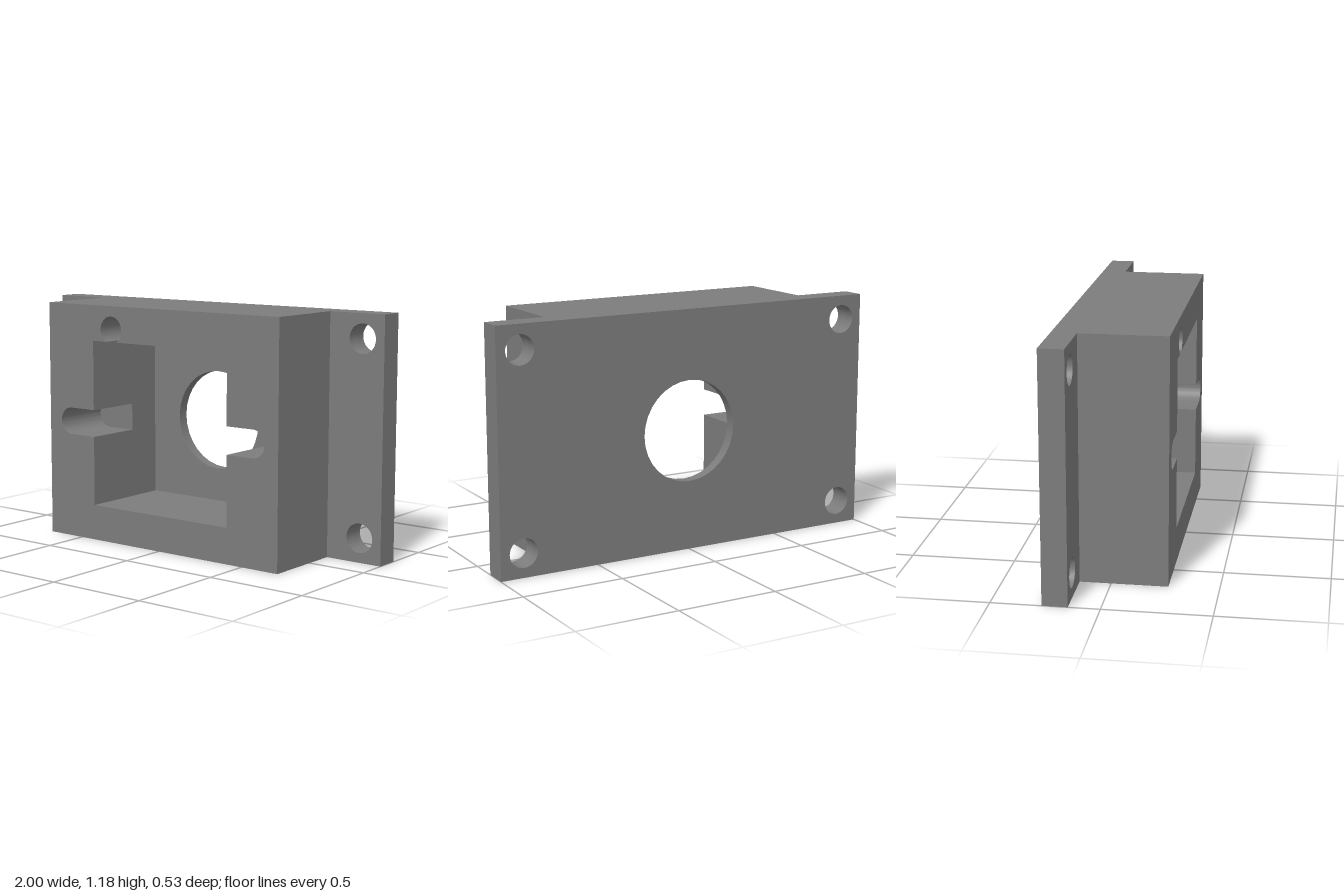
import * as THREE from 'three';
import { toCreasedNormals } from 'three/addons/utils/BufferGeometryUtils.js';

const HEIGHT = 1.176, MID = HEIGHT / 2;
const BACK = -0.265, FLOOR = -0.21, FLANGE = -0.147, SLOT = -0.027, FRONT = 0.265;
const PX = 0.412, PY0 = 0.176, PY1 = 1.0;       // square pocket
const material = new THREE.MeshStandardMaterial({ color: 0x7c7c7c });

// Rectangle outline
function rect(PathType, x, y0, y1) {
  const p = new PathType();
  p.moveTo(-x, y0).lineTo(x, y0).lineTo(x, y1).lineTo(-x, y1).closePath();
  return p;
}

function circle(x, y, r) {
  return new THREE.Path().absarc(x, y, r, 0, Math.PI * 2, false);
}

// Pocket outline with two round-ended side slots and a round notch on top
function slottedPocket() {
  const r = 0.067, slotX = 0.628 - r;
  const notchX = -0.295, notchY = 1.058;
  const a = Math.asin((PY1 - notchY) / r);
  const p = new THREE.Path();
  p.moveTo(-PX, PY0);
  p.lineTo(PX, PY0);
  p.lineTo(PX, MID - r);
  p.absarc(slotX, MID, r, -Math.PI / 2, Math.PI / 2, false);
  p.lineTo(PX, MID + r);
  p.lineTo(PX, PY1);
  p.absarc(notchX, notchY, r, a, Math.PI - a, false);
  p.lineTo(-PX, PY1);
  p.lineTo(-PX, MID + r);
  p.absarc(-slotX, MID, r, Math.PI / 2, Math.PI * 1.5, false);
  p.lineTo(-PX, MID - r);
  p.closePath();
  return p;
}

// One slab of the housing between two depths
function slab(name, halfWidth, holes, z0, z1) {
  const shape = rect(THREE.Shape, halfWidth, 0, HEIGHT);
  shape.holes.push(...holes);
  const geo = new THREE.ExtrudeGeometry(shape, { depth: z1 - z0, bevelEnabled: false, curveSegments: 16 });
  geo.translate(0, 0, z0);
  const mesh = new THREE.Mesh(toCreasedNormals(geo, 0.6), material);
  mesh.name = name;
  return mesh;
}

export function createModel() {
  const group = new THREE.Group();
  group.name = 'mountingHousing';

  const screwHoles = () => [-0.883, 0.883].flatMap(x => [0.118, 1.058].map(y => circle(x, y, 0.071)));
  const pocket = () => rect(THREE.Path, PX, PY0, PY1);

  // Flange: thin rear wall with the round opening, then the pocket begins
  group.add(slab('rearWall', 1, [circle(0, MID, 0.248), ...screwHoles()], BACK, FLOOR));
  group.add(slab('flange', 1, [pocket(), ...screwHoles()], FLOOR, FLANGE));
  // Raised block: plain pocket, then the slotted front portion
  group.add(slab('blockBase', 0.704, [pocket()], FLANGE, SLOT));
  group.add(slab('blockFront', 0.704, [slottedPocket()], SLOT, FRONT));
  return group;
}
